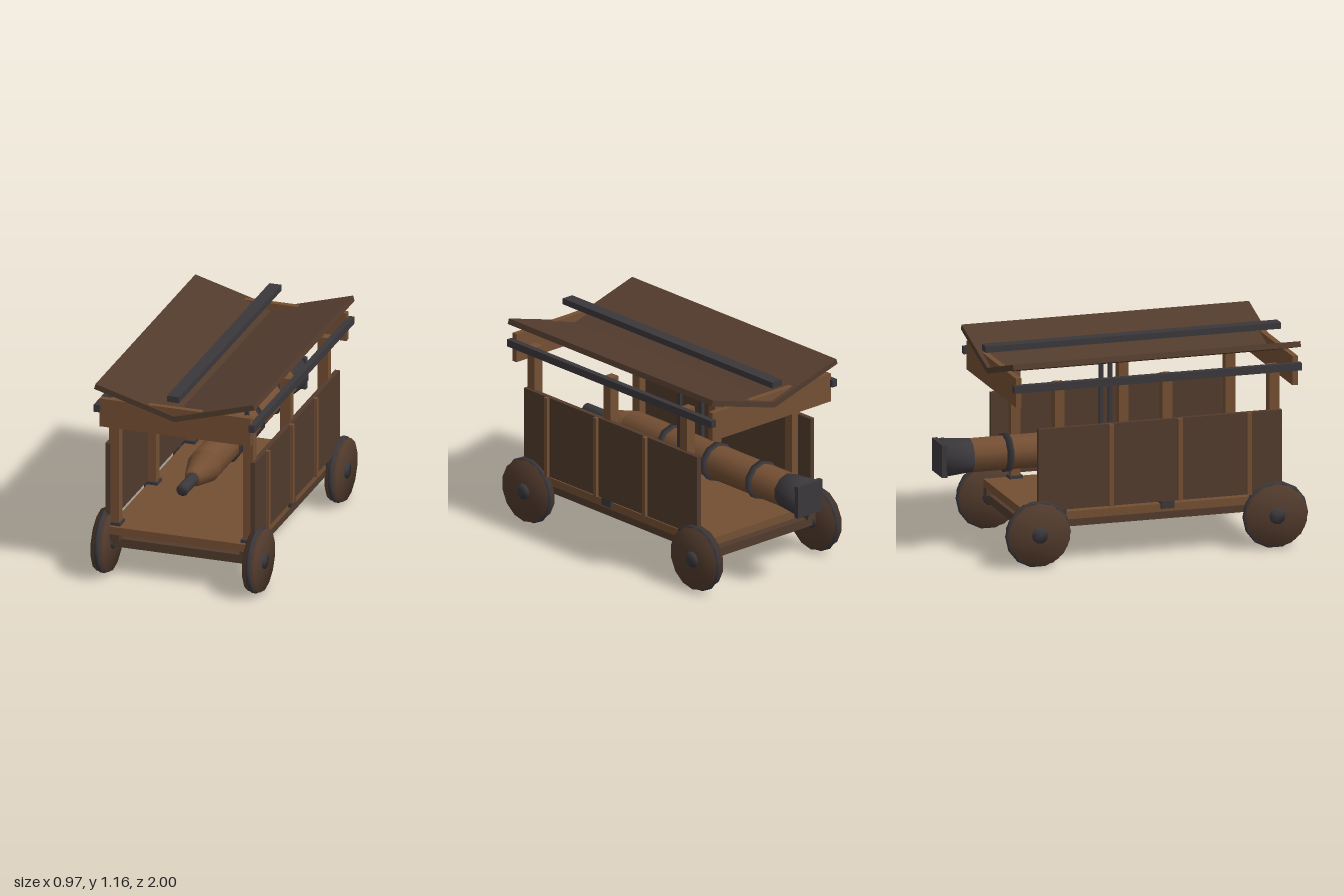
import * as THREE from 'three';
import { mergeVertices } from 'three/addons/utils/BufferGeometryUtils.js';

const mat = (name, color) => Object.assign(new THREE.MeshStandardMaterial({ color }), { name });

export function createModel() {
  const wood = mat('wood', 0x744f33);
  const darkWood = mat('dark wood', 0x523b2d);
  const iron = mat('iron', 0x3b383c);
  const model = new THREE.Group();
  model.name = 'coveredRam';

  const add = (name, geometry, material, parent = model) => {
    const mesh = new THREE.Mesh(geometry, material);
    mesh.name = name;
    parent.add(mesh);
    return mesh;
  };
  // Box given by its extents on each axis
  const box = (name, material, [x0, x1], [y0, y1], [z0, z1], parent) => {
    const mesh = add(name, new THREE.BoxGeometry(x1 - x0, y1 - y0, z1 - z0), material, parent);
    mesh.position.set((x0 + x1) / 2, (y0 + y1) / 2, (z0 + z1) / 2);
    return mesh;
  };
  // Same box on both sides of the model
  const pair = (name, material, [x0, x1], y, z) => {
    box(name + 'Left', material, [x0, x1], y, z);
    box(name + 'Right', material, [-x1, -x0], y, z);
  };
  // Round part with normals blended over the rims
  const round = (rTop, rBottom, length, sides) => {
    const g = new THREE.CylinderGeometry(rTop, rBottom, length, sides);
    g.deleteAttribute('normal');
    g.deleteAttribute('uv');
    const merged = mergeVertices(g, 1e-4);
    merged.computeVertexNormals();
    return merged;
  };

  // Chassis
  box('deck', wood, [-0.41, 0.41], [0.25, 0.295], [-0.6, 0.87]);
  pair('frameBeam', darkWood, [0.35, 0.41], [0.21, 0.25], [-0.6, 0.87]);

  // Axles and wheels
  for (const z of [0.81, -0.56]) {
    box('axle', darkWood, [-0.41, 0.41], [0.165, 0.215], [z - 0.025, z + 0.025]);
    for (const side of [1, -1]) {
      const wheel = new THREE.Group();
      wheel.name = 'wheel';
      wheel.position.set(side * 0.441, 0.19, z);
      wheel.rotation.z = -side * Math.PI / 2;
      add('wheelDisc', round(0.177, 0.177, 0.07, 14), darkWood, wheel);
      const rim = add('wheelRim', new THREE.TorusGeometry(0.174, 0.016, 6, 14), iron, wheel);
      rim.rotation.set(Math.PI / 2, 0, Math.PI / 14);
      wheel.children[0].rotation.y = Math.PI / 14;
      add('wheelHub', round(0.046, 0.046, 0.088, 10), iron, wheel);
      model.add(wheel);
    }
  }

  // Posts with iron feet
  for (const z of [0.812, 0.195, -0.428]) {
    pair('post', wood, [0.36, 0.42], [0.29, 1.03], [z - 0.028, z + 0.028]);
    pair('postFoot', iron, [0.35, 0.428], [0.27, 0.312], [z - 0.038, z + 0.038]);
  }

  // Side walls with battens
  pair('wallPanel', darkWood, [0.408, 0.436], [0.315, 0.78], [-0.555, 0.852]);
  for (const z of [0.66, 0.26, -0.138]) {
    pair('wallBatten', wood, [0.43, 0.453], [0.315, 0.78], [z - 0.013, z + 0.013]);
  }

  // Roof: end beams, rails, valley-shaped cover and raised centre beam
  for (const z of [0.925, -0.67]) {
    box('roofBeam', wood, [-0.44, 0.44], [0.915, 1.08], [z - 0.016, z + 0.016]);
  }
  pair('roofRail', iron, [0.434, 0.468], [1.003, 1.045], [-0.705, 0.955]);
  const section = [[0, 1.003], [0.468, 1.137], [0.459, 1.167], [0, 1.035], [-0.459, 1.167], [-0.468, 1.137]];
  const roofShape = new THREE.Shape(section.map(([x, y]) => new THREE.Vector2(x, y)));
  const roof = add('roof', new THREE.ExtrudeGeometry(roofShape, { depth: 1.66, bevelEnabled: false }), darkWood);
  roof.position.z = -0.71;
  box('centreBeam', iron, [-0.035, 0.035], [1.13, 1.165], [-0.73, 0.975]);

  // Swinging ram: local y points to the back of the model
  const ram = new THREE.Group();
  ram.name = 'ram';
  ram.position.y = 0.547;
  ram.rotation.x = -Math.PI / 2;
  model.add(ram);
  const ramPart = (name, material, rBack, rFront, zBack, zFront) => {
    const mesh = add(name, round(rBack, rFront, zFront - zBack, 10), material, ram);
    mesh.position.y = -(zBack + zFront) / 2;
  };
  ramPart('ramLog', wood, 0.098, 0.098, -0.81, 0.45);
  ramPart('ramTaper', wood, 0.098, 0.05, 0.45, 0.64);
  ramPart('ramTail', iron, 0.035, 0.035, 0.6, 0.82);
  ramPart('ramHead', iron, 0.113, 0.096, -0.975, -0.805);
  for (const z of [-0.605, -0.24, 0.12]) ramPart('ramBand', iron, 0.11, 0.11, z - 0.018, z + 0.018);
  box('ramPlate', iron, [-0.092, 0.092], [0.455, 0.64], [-1, -0.97]);

  // Hangers
  pair('hanger', iron, [0.07, 0.091], [0.56, 1.03], [-0.038, -0.016]);

  return model;
}
